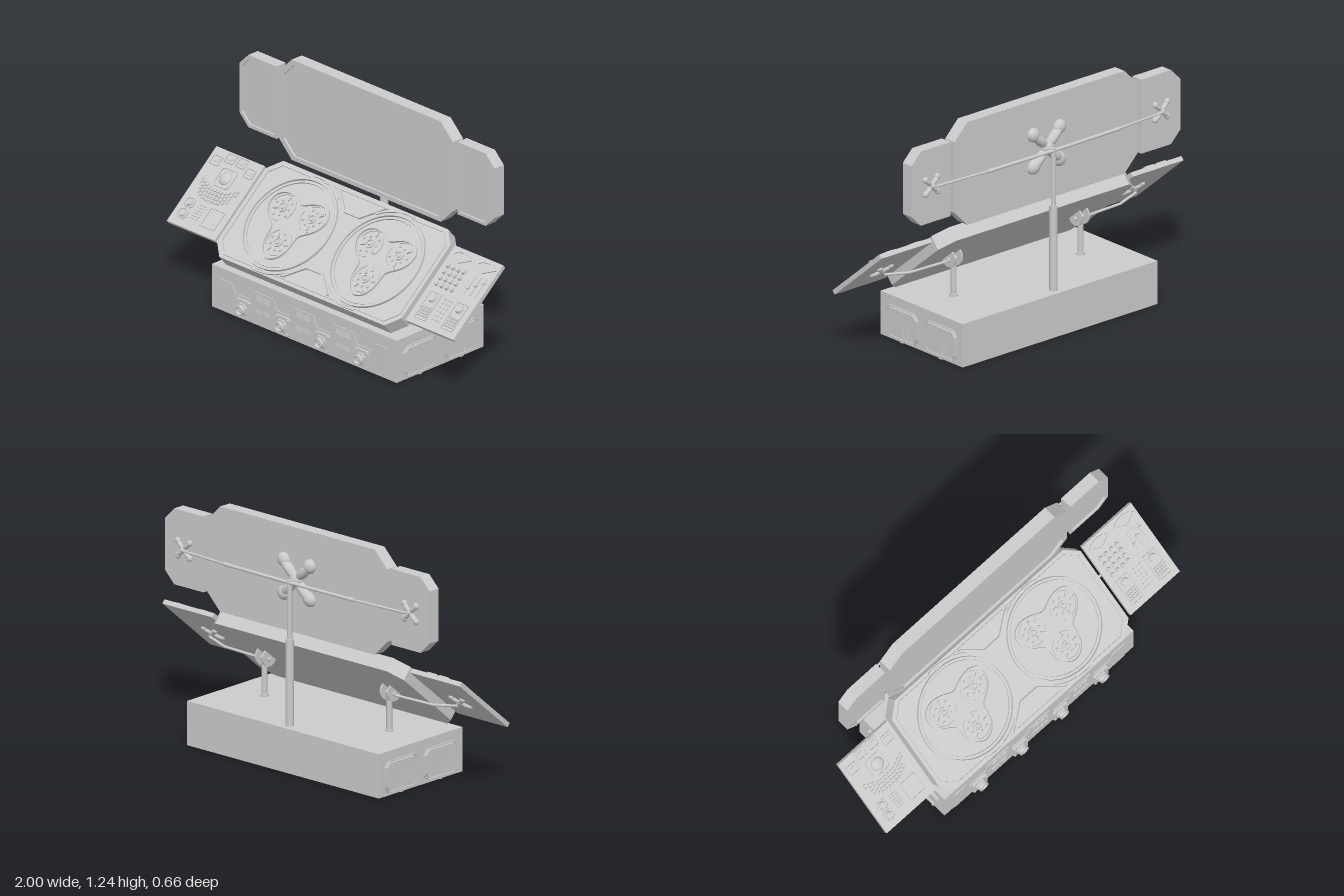
import * as THREE from 'three';

const mat = new THREE.MeshStandardMaterial({ color: 0xcccccc, side: THREE.DoubleSide });
const V = (x, y, z) => new THREE.Vector3(x, y, z);

function add(parent, name, geo, x = 0, y = 0, z = 0) {
  const m = new THREE.Mesh(geo, mat);
  m.name = name;
  m.position.set(x, y, z);
  parent.add(m);
  return m;
}
function group(parent, name, x = 0, y = 0, z = 0) {
  const g = new THREE.Group();
  g.name = name;
  g.position.set(x, y, z);
  parent.add(g);
  return g;
}
const box = (p, name, w, h, d, x, y, z) => add(p, name, new THREE.BoxGeometry(w, h, d), x, y, z);
// disc or knob whose axis is z, standing on z
function disc(p, name, r, d, x, y, z, r2 = r, n = 20) {
  const g = new THREE.CylinderGeometry(r2, r, d, n).rotateX(Math.PI / 2);
  return add(p, name, g, x, y, z + d / 2);
}
function rod(p, name, a, b, r) {
  const m = add(p, name, new THREE.CylinderGeometry(r, r, a.distanceTo(b), 14));
  m.position.copy(a).lerp(b, 0.5);
  m.quaternion.setFromUnitVectors(V(0, 1, 0), b.clone().sub(a).normalize());
  return m;
}
const poly = pts => new THREE.Shape(pts.map(p => new THREE.Vector2(p[0], p[1])));
// rectangle with cut corners; cl and cr are the cuts on the -x and +x ends
function cut(w, h, cl, cr = cl) {
  const a = w / 2, b = h / 2;
  return poly([[-a + cl, -b], [a - cr, -b], [a, -b + cr], [a, b - cr], [a - cr, b], [-a + cl, b], [-a, b - cl], [-a, -b + cl]]);
}
const rect = (w, h, x = 0, y = 0) => poly([[x - w / 2, y - h / 2], [x + w / 2, y - h / 2], [x + w / 2, y + h / 2], [x - w / 2, y + h / 2]]);
function extrude(shape, depth, ...holes) {
  shape.holes.push(...holes);
  return new THREE.ExtrudeGeometry(shape, { depth, bevelEnabled: false, curveSegments: 40 });
}
// flat ring or arc
function arc(p, name, r0, r1, d, x, y, z, a0 = 0, a1 = Math.PI * 2) {
  const s = new THREE.Shape();
  s.absarc(0, 0, r1, a0, a1, false);
  s.absarc(0, 0, r0, a1, a0, true);
  return add(p, name, new THREE.ExtrudeGeometry(s, { depth: d, bevelEnabled: false, curveSegments: 36 }), x, y, z);
}
// four-lobed bracket, bulging towards -z
function lobedMount(p, name, size, x, y, z) {
  const g = group(p, name, x, y, z);
  for (let i = 0; i < 4; i++) {
    const a = Math.PI / 4 + i * Math.PI / 2;
    const arm = group(g, 'mountArm');
    arm.rotation.z = a;
    add(arm, 'armRib', new THREE.SphereGeometry(size, 16, 10), size * 0.45).scale.set(0.5, 0.17, 0.22);
    add(arm, 'armPad', new THREE.SphereGeometry(size, 16, 10), size * 0.78).scale.set(0.26, 0.24, 0.2);
  }
  add(g, 'mountHub', new THREE.SphereGeometry(size * 0.26, 16, 10));
  return g;
}

function buildBase(root) {
  const base = group(root, 'base');
  box(base, 'baseBody', 1.29, 0.23, 0.61, 0, 0.115, -0.02);
  // stepped front plate, raised behind each grille
  const top = [[0.58, 0.17], [0.5, 0.17], [0.48, 0.125]];
  const pts = [[-0.58, 0.005], [0.58, 0.005], ...top];
  for (const x of [0.28, 0, -0.28]) pts.push([x + 0.09, 0.125], [x + 0.07, 0.18], [x - 0.07, 0.18], [x - 0.09, 0.125]);
  pts.push(...top.map(([x, y]) => [-x, y]).reverse());
  add(base, 'frontPlate', extrude(poly(pts), 0.005), 0, 0, 0.285);
  for (const x of [-0.28, 0, 0.28]) for (const dx of [-0.026, 0.026]) {
    for (let i = 0; i < 4; i++) box(base, 'grilleSlat', 0.046, 0.004, 0.006, x + dx, 0.138 + i * 0.008, 0.291);
    for (let i = 0; i < 3; i++) box(base, 'lowerSlat', 0.046, 0.003, 0.005, x + dx, 0.07 + i * 0.008, 0.291);
  }
  // square sockets with round nozzles
  for (const x of [-0.415, -0.14, 0.135, 0.41]) {
    const s = group(base, 'frontSocket', x, 0.062, 0.29);
    add(s, 'socketPlate', extrude(cut(0.096, 0.1, 0.008), 0.012));
    for (const i of [-1, 1]) for (const j of [-1, 1]) disc(s, 'socketBolt', 0.006, 0.005, i * 0.038, j * 0.038, 0.012);
    add(s, 'socketCollar', extrude(cut(0.068, 0.068, 0.018), 0.01), 0, 0, 0.012);
    arc(s, 'socketRing', 0.019, 0.028, 0.018, 0, 0, 0.022);
    disc(s, 'socketCore', 0.012, 0.012, 0, 0, 0.022, 0.009);
  }
  // windowed side panels
  for (const side of [-1, 1]) for (const z of [0.1225, -0.165]) {
    const p = group(base, 'sidePanel', side * 0.645, 0.097, z);
    p.rotation.y = side * Math.PI / 2;
    add(p, 'panelRim', extrude(cut(0.244, 0.166, 0.03), 0.007, cut(0.234, 0.156, 0.027)));
    const holes = [[-1, -1], [1, -1], [1, 1], [-1, 1]].map(([i, j]) => rect(0.088, 0.052, i * 0.054, j * 0.036));
    add(p, 'panelGrid', extrude(cut(0.222, 0.144, 0.024), 0.011, ...holes));
    for (const i of [-1, 1]) {
      for (const j of [-1, 1]) {
        box(p, 'windowBar', 0.007, 0.05, 0.008, i * 0.054 - 0.018, j * 0.036, 0.004);
        disc(p, 'panelBolt', 0.005, 0.004, i * 0.088, j * 0.066, 0.01);
      }
    }
    box(p, 'panelTab', 0.02, 0.014, 0.008, 0, -0.09, 0.004);
  }
}

function buildGauges(p, x) {
  const g = group(p, 'gaugeCluster', x, 0, 0.075);
  arc(g, 'outerRing', 0.255, 0.268, 0.014, 0, 0, 0);
  arc(g, 'innerRing', 0.238, 0.25, 0.008, 0, 0, 0);
  // trefoil rim
  const trefoil = k => poly(Array.from({ length: 90 }, (_, i) => {
    const a = i / 90 * Math.PI * 2, r = k * (0.165 + 0.054 * Math.cos(3 * (a + Math.PI / 2)));
    return [r * Math.cos(a), r * Math.sin(a)];
  }));
  add(g, 'trefoilRim', extrude(trefoil(1), 0.012, trefoil(0.94)), 0, 0.01, 0);
  for (let k = 0; k < 3; k++) {
    const a = -Math.PI / 2 + k * Math.PI * 2 / 3;
    const d = group(g, 'gauge', 0.118 * Math.cos(a), 0.118 * Math.sin(a) + 0.01);
    d.rotation.z = k * 0.7;
    for (let i = 0; i < 3; i++) arc(d, 'gaugeArc', 0.071, 0.077, 0.006, 0, 0, 0, i * 2.1, i * 2.1 + 1.5);
    for (let i = 0; i < 9; i++) {
      const b = i * Math.PI * 2 / 9, r = i % 2 ? 0.042 : 0.054;
      if (i % 3) disc(d, 'gaugeButton', 0.008, 0.009, r * Math.cos(b), r * Math.sin(b), 0, 0.006, 10);
      else box(d, 'gaugeSwitch', 0.024, 0.01, 0.01, r * Math.cos(b), r * Math.sin(b), 0.005).rotation.z = b;
    }
    arc(d, 'gaugeHubRing', 0.02, 0.025, 0.007, 0, 0, 0);
    disc(d, 'gaugeHub', 0.012, 0.01, 0, 0, 0, 0.008);
  }
}

function buildLeftControls(p) {
  for (let i = 0; i < 4; i++) {
    const x = -0.117 + i * 0.078, y = i % 3 ? 0.195 : 0.16;
    add(p, 'miniScreen', extrude(rect(0.062, 0.055), 0.007, rect(0.052, 0.045)), x, y, 0);
    box(p, 'screenMark', 0.03, 0.02, 0.005, x, y, 0.002);
  }
  add(p, 'dialFrame', extrude(cut(0.11, 0.11, 0.015), 0.006, cut(0.096, 0.096, 0.012)), 0, 0.09, 0);
  add(p, 'trackBall', new THREE.SphereGeometry(0.036, 20, 12), 0, 0.09, 0).scale.z = 0.5;
  // key wings
  for (let r = 0; r < 4; r++) for (let c = 0; c < 12; c++) {
    const x = -0.121 + c * 0.022;
    if (r > 1 && Math.abs(x) > 0.1) continue;
    box(p, 'key', 0.015, 0.014, 0.008, x, 0.012 - r * 0.02 + Math.max(0, Math.abs(x) - 0.05) * 0.5, 0.004);
  }
  for (const y of [-0.095, -0.16]) {
    add(p, 'buttonFrame', extrude(cut(0.062, 0.055, 0.012), 0.006, cut(0.054, 0.047, 0.01)), -0.105, y, 0);
    disc(p, 'roundButton', 0.02, 0.012, -0.105, y, 0, 0.016);
  }
  for (let i = 0; i < 6; i++) box(p, 'listBar', 0.05, 0.006, 0.005, -0.025, -0.085 - i * 0.016, 0.002);
  add(p, 'touchPad', extrude(rect(0.1, 0.11), 0.006, rect(0.09, 0.1)), 0.08, -0.13, 0);
}

function buildRightControls(p) {
  for (const x of [-0.085, 0.085]) {
    // fan dial
    const fan = poly([[0, -0.03], [0.07, 0.01], [0.04, 0.032], [0, 0.04], [-0.04, 0.032], [-0.07, 0.01]]);
    const inner = poly([[0, -0.02], [0.055, 0.01], [0.035, 0.024], [0, 0.032], [-0.035, 0.024], [-0.055, 0.01]]);
    add(p, 'fanDial', extrude(fan, 0.006, inner), x, 0.175, 0);
    // keypad with knob above
    add(p, 'keypadFrame', extrude(rect(0.08, 0.16), 0.006, rect(0.072, 0.152)), x * 1.1, -0.115, 0);
    disc(p, 'keypadKnob', 0.024, 0.014, x * 1.1, -0.07, 0, 0.019);
    for (let i = 0; i < 16; i++) box(p, 'padKey', 0.012, 0.012, 0.008, x * 1.1 - 0.024 + (i % 4) * 0.016, -0.125 - Math.floor(i / 4) * 0.016, 0.004);
  }
  for (let i = 0; i < 16; i++) disc(p, 'knob', 0.013, 0.016, -0.125 + (i % 4) * 0.036, 0.115 - Math.floor(i / 4) * 0.036, 0, 0.009, 12);
  for (let i = 0; i < 3; i++) {
    box(p, 'sliderTrack', 0.007, 0.11, 0.005, 0.06 + i * 0.036, 0.07, 0.002);
    box(p, 'sliderGrip', 0.02, 0.014, 0.012, 0.06 + i * 0.036, 0.05 + i * 0.025, 0.006);
  }
  for (let i = 0; i < 18; i++) box(p, 'indicator', 0.01, 0.01, 0.006, -0.022 + (i % 3) * 0.022, -0.05 - Math.floor(i / 3) * 0.024, 0.003);
}

function buildConsole(root) {
  const desk = group(root, 'console', 0, 0.4275, 0.03);
  desk.rotation.x = -50 * Math.PI / 180;
  add(desk, 'consoleSlab', extrude(cut(1.29, 0.586, 0.07), 0.075));
  add(desk, 'consoleTrim', extrude(cut(1.25, 0.55, 0.065), 0.006, cut(1.235, 0.535, 0.062)), 0, 0, 0.075);
  for (const s of [-1, 1]) {
    buildGauges(desk, s * 0.305);
    // waist frame between the clusters
    const w = [[0, 0.165], [0.055, 0.165], [0.17, 0.265], [0.15, 0.265], [0.05, 0.178], [0, 0.178]];
    for (const t of [-1, 1]) add(desk, 'waistFrame', extrude(poly(w.map(([x, y]) => [x * s, y * t])), 0.012), 0, 0, 0.075);
    for (const a of [0.9, -1.75]) arc(desk, 'clusterSurround', 0.278, 0.288, 0.009, s * 0.305, 0, 0.075, s > 0 ? Math.PI - a - 0.85 : a, s > 0 ? Math.PI - a : a + 0.85);
    // side console
    const wing = group(desk, s > 0 ? 'leftSideConsole' : 'rightSideConsole', s * 0.8325, 0.005, 0.068);
    box(wing, 'sideSlab', 0.335, 0.456, 0.024, 0, 0, -0.012);
    (s > 0 ? buildRightControls : buildLeftControls)(wing);
    lobedMount(wing, 'sideConsoleMount', 0.065, 0, -0.02, -0.026);
  }
  // posts, hinges and side arms
  for (const s of [-1, 1]) {
    rod(root, 'consolePost', V(s * 0.42, 0.23, -0.005), V(s * 0.42, 0.43, -0.005), 0.015);
    rod(root, 'postFoot', V(s * 0.42, 0.23, -0.005), V(s * 0.42, 0.24, -0.005), 0.022);
    for (const d of [-0.024, 0.024]) {
      const c = add(root, 'hingeCheek', new THREE.CylinderGeometry(0.05, 0.05, 0.008, 24), s * 0.42 + d, 0.435, 0.005);
      c.rotation.z = Math.PI / 2;
    }
    rod(root, 'hingePin', V(s * 0.38, 0.425, 0), V(s * 0.46, 0.425, 0), 0.012);
    rod(root, 'sideArm', V(s * 0.44, 0.42, 0), V(s * 0.7, 0.42, 0.012), 0.007);
    rod(root, 'sideArmEnd', V(s * 0.7, 0.42, 0.012), V(s * 0.8325, 0.435, 0.045), 0.007);
  }
}

function buildScreens(root) {
  const mid = group(root, 'mainScreen', 0, 0.968, -0.22);
  add(mid, 'screenFrame', extrude(cut(1.21, 0.546, 0.085), 0.07, cut(1.155, 0.5, 0.075)));
  add(mid, 'screenPanel', extrude(cut(1.16, 0.505, 0.076), 0.058));
  for (const s of [-1, 1]) {
    const m = group(root, s > 0 ? 'leftScreen' : 'rightScreen', s * 0.761, 0.968, -0.22);
    const c = s > 0 ? [0, 0.062] : [0.062, 0], ci = s > 0 ? [0, 0.055] : [0.055, 0];
    add(m, 'screenFrame', extrude(cut(0.258, 0.394, ...c), 0.065, cut(0.225, 0.36, ...ci)));
    add(m, 'screenPanel', extrude(cut(0.23, 0.365, ...ci), 0.054));
    lobedMount(root, 'sideScreenMount', 0.07, s * 0.761, 0.968, -0.223);
    // two-part cross arm
    rod(root, 'crossArm', V(0, 0.972, -0.28), V(s * 0.42, 0.972, -0.274), 0.009);
    rod(root, 'crossArmTip', V(s * 0.4, 0.972, -0.275), V(s * 0.761, 0.968, -0.245), 0.006);
    rod(root, 'armCollar', V(s * 0.4, 0.972, -0.275), V(s * 0.435, 0.972, -0.273), 0.011);
    rod(root, 'armPivot', V(s * 0.761, 0.968, -0.215), V(s * 0.761, 0.968, -0.25), 0.01);
  }
  lobedMount(root, 'mainScreenMount', 0.155, 0, 0.975, -0.222);
  rod(root, 'mountNeck', V(0, 0.97, -0.22), V(0, 0.97, -0.285), 0.013);
  rod(root, 'lowerMast', V(0, 0.23, -0.276), V(0, 0.68, -0.276), 0.021);
  rod(root, 'upperMast', V(0, 0.68, -0.276), V(0, 0.985, -0.276), 0.013);
}

export function createModel() {
  const root = new THREE.Group();
  root.name = 'controlStation';
  buildBase(root);
  buildConsole(root);
  buildScreens(root);
  return root;
}
